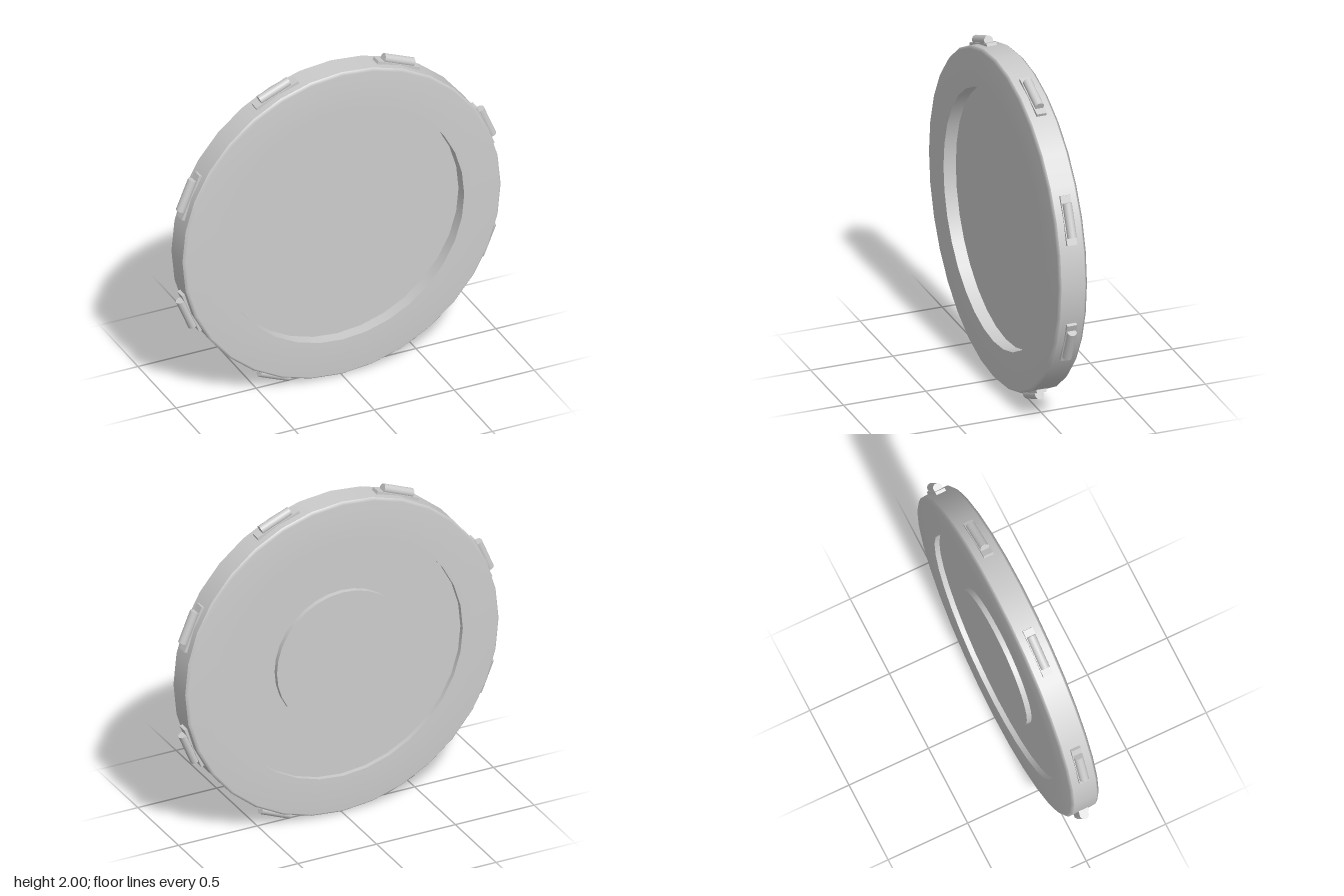
import * as THREE from 'three';

const SIDES = 32;

export function createModel() {
  const model = new THREE.Group();
  model.name = 'gripRingDisc';
  const grey = new THREE.MeshStandardMaterial({ color: 0xcccccc });
  grey.name = 'lightGrey';

  const body = new THREE.Group();
  body.name = 'body';
  body.position.y = 1;
  model.add(body);

  const add = (parent, name, geometry) => {
    const mesh = new THREE.Mesh(geometry, grey);
    mesh.name = name;
    parent.add(mesh);
    return mesh;
  };
  // Revolve a [radius, z] profile around the z axis
  const revolve = (name, profile) => {
    const points = profile.map(([r, z]) => new THREE.Vector2(r, z));
    add(body, name, new THREE.LatheGeometry(points, SIDES).rotateX(Math.PI / 2));
  };

  // Outer ring: separate strips keep the edges between them sharp
  const outer = 0.995, inner = 0.76, half = 0.088;
  revolve('ringRim', [[outer, -0.072], [outer, 0.072]]);
  revolve('ringFrontFace', [[outer, 0.072], [0.98, half], [inner, half]]);
  revolve('ringInnerWall', [[inner, half], [inner, -half]]);
  revolve('ringBackFace', [[inner, -half], [0.98, -half], [outer, -0.072]]);

  // Recessed centre plate and the raised disc on its back
  const disc = (name, radius, back, front) => {
    const geometry = new THREE.CylinderGeometry(radius, radius, front - back, SIDES);
    add(body, name, geometry.rotateX(Math.PI / 2)).position.z = (front + back) / 2;
  };
  disc('centrePlate', inner, -0.058, 0.013);
  disc('backDisc', 0.42, -0.088, -0.05);

  // Eight grips around the rim: a flat base with a rounded bar on top
  for (let i = 0; i < 8; i++) {
    const grip = new THREE.Group();
    grip.name = 'grip' + (i + 1);
    grip.rotation.z = (i + 0.5) * Math.PI / 4;
    body.add(grip);
    add(grip, 'gripBase', new THREE.BoxGeometry(0.04, 0.285, 0.06)).position.x = 0.98;
    add(grip, 'gripBar', new THREE.CylinderGeometry(0.027, 0.027, 0.2, 16)).position.x = 1.013;
  }
  return model;
}
